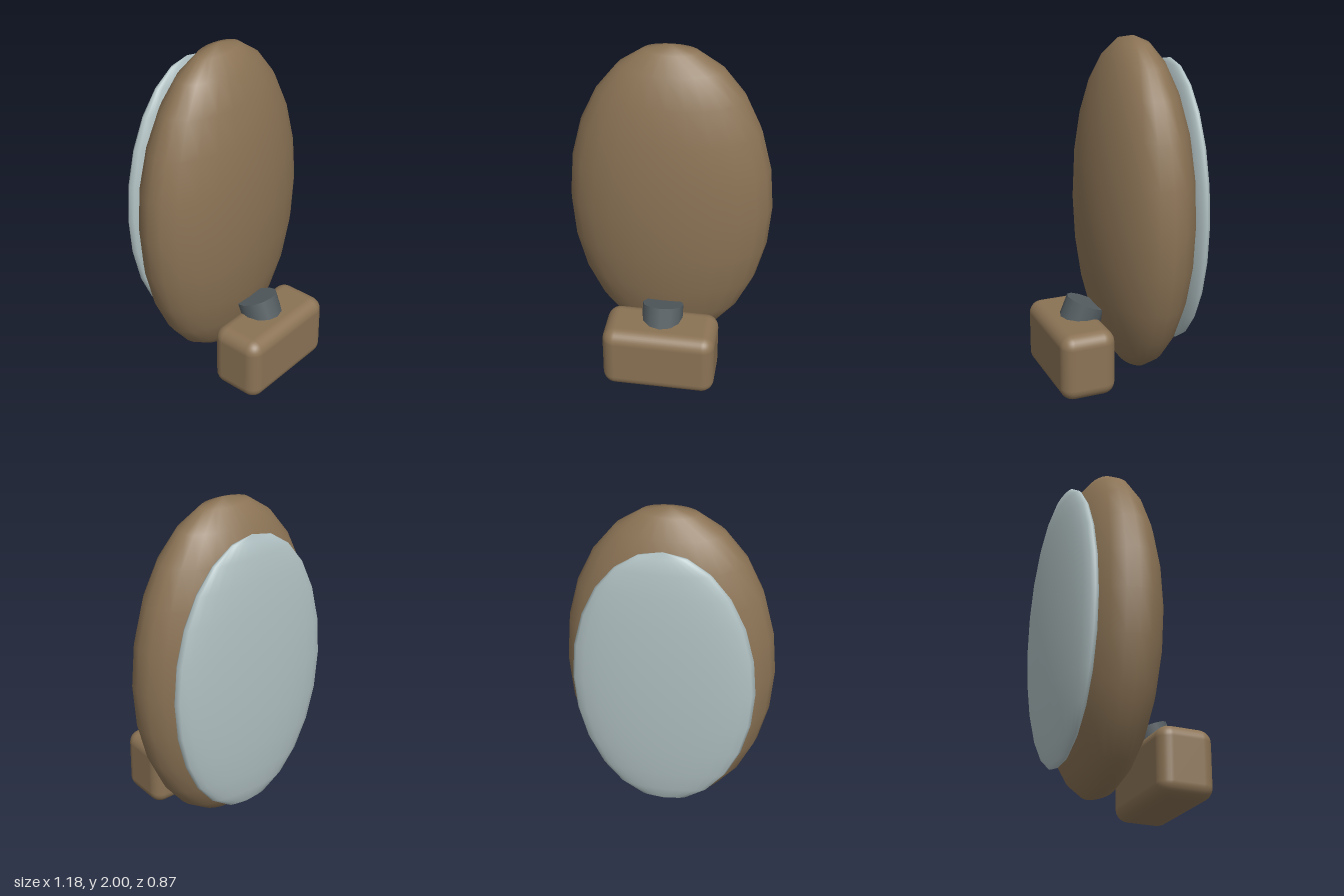
import * as THREE from 'three';
import { RoundedBoxGeometry } from 'three/addons/geometries/RoundedBoxGeometry.js';

export function createModel() {
  const group = new THREE.Group();
  const material = (name, color) => {
    const m = new THREE.MeshStandardMaterial({ color });
    m.name = name;
    return m;
  };
  const brown = material('brown', 0x8b7355);
  const glass = material('pale grey', 0xb0c0c2);
  const dark = material('dark grey', 0x555e62);

  const add = (name, geometry, mat, x, y, z) => {
    const mesh = new THREE.Mesh(geometry, mat);
    mesh.name = name;
    mesh.position.set(x, y, z);
    group.add(mesh);
    return mesh;
  };
  const ellipsoid = (rx, ry, rz) => new THREE.SphereGeometry(1, 24, 12).scale(rx, ry, rz);

  // Oval shell with the reflective face bulging from its back
  add('shell', ellipsoid(0.59, 0.985, 0.295), brown, 0, 1.017, -0.113);
  add('mirrorFace', ellipsoid(0.507, 0.845, 0.093), glass, 0, 1.017, -0.341);

  // Rounded mounting block
  add('mountBlock', new RoundedBoxGeometry(0.66, 0.396, 0.326, 4, 0.075), brown, 0, 0.198, 0.272);

  // Tilted pivot joining block and shell
  const pivot = add('pivot', new THREE.CylinderGeometry(0.12, 0.12, 0.24, 12), dark, 0, 0.353, 0.222);
  pivot.rotation.x = -0.4;

  return group;
}
